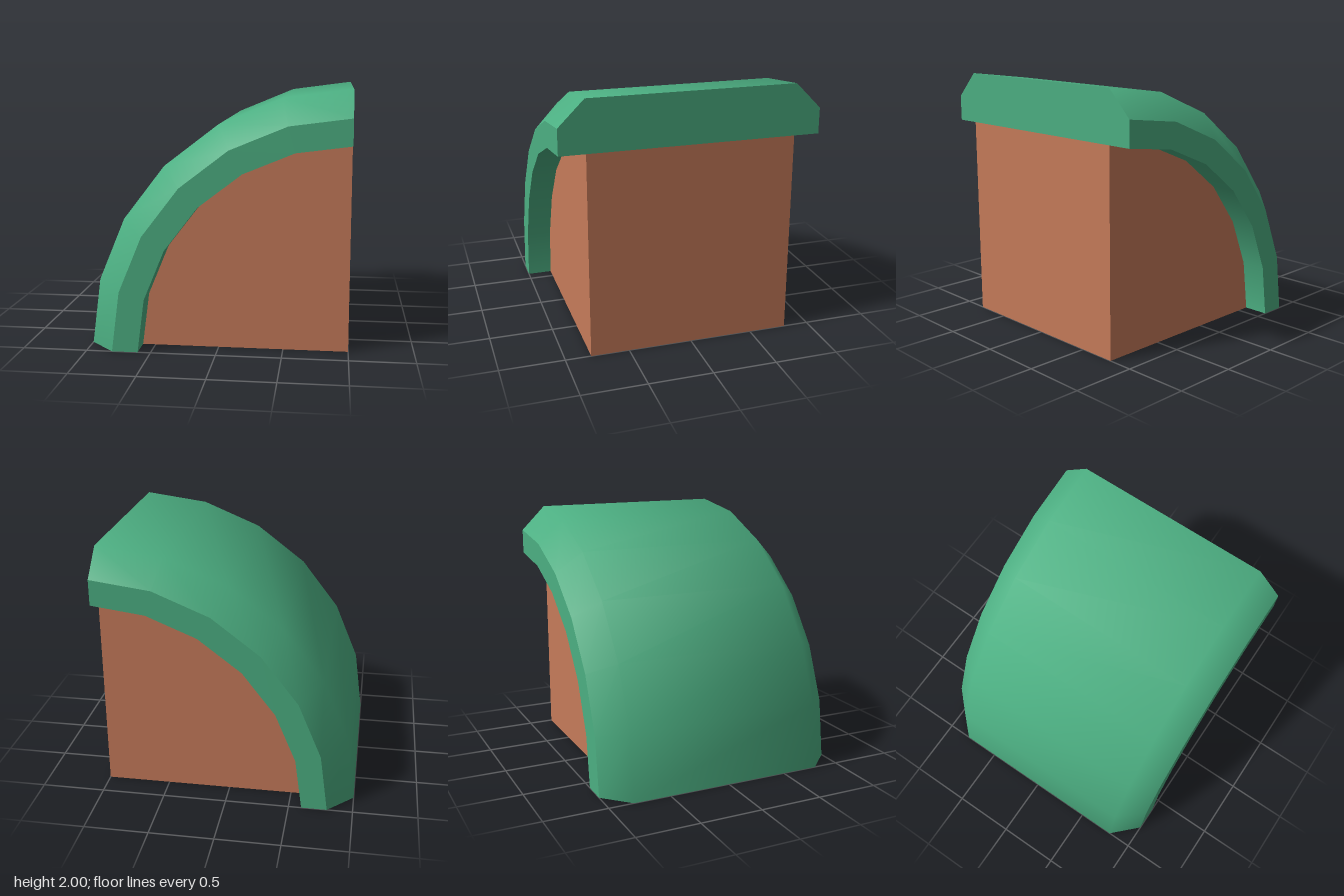
import * as THREE from 'three';

const STEPS = 6; // facets around the quarter turn
const INNER = 1.6, RIM = 1.8, OUTER = 2; // radii about the axis x = 1, y = 0
const CORE_Z = 0.8, RIM_Z = 1;

// Sweeps a strip through the quarter turn. Each profile point is
// [radius, z, tilt], with tilt the angle of its normal from radial towards +z.
function sweep(profile) {
  const pos = [], nor = [], index = [];
  const n = profile.length;
  for (let i = 0; i <= STEPS; i++) {
    const a = (i / STEPS) * Math.PI / 2;
    const c = Math.cos(a), s = Math.sin(a);
    for (const [r, z, tilt] of profile) {
      const t = THREE.MathUtils.degToRad(tilt);
      pos.push(1 - r * c, r * s, z);
      nor.push(-Math.cos(t) * c, Math.cos(t) * s, Math.sin(t));
    }
  }
  for (let i = 0; i < STEPS; i++) {
    for (let j = 0; j < n - 1; j++) {
      const p = i * n + j, q = p + n;
      index.push(p, q, p + 1, q, q + 1, p + 1);
    }
  }
  const g = new THREE.BufferGeometry();
  g.setAttribute('position', new THREE.Float32BufferAttribute(pos, 3));
  g.setAttribute('normal', new THREE.Float32BufferAttribute(nor, 3));
  g.setIndex(index);
  return g;
}

export function createModel() {
  const green = new THREE.MeshStandardMaterial({ color: 0x4caf82 });
  green.name = 'green';
  const clay = new THREE.MeshStandardMaterial({ color: 0xc67b5a });
  clay.name = 'clay';

  const model = new THREE.Group();
  model.name = 'quarterRoundBlock';
  const add = (name, geometry, material) => {
    const mesh = new THREE.Mesh(geometry, material);
    mesh.name = name;
    model.add(mesh);
    return mesh;
  };

  // Solid quarter-round core
  const quarter = [new THREE.Vector2(1, 0)];
  for (let i = 0; i <= STEPS; i++) {
    const a = (i / STEPS) * Math.PI / 2;
    quarter.push(new THREE.Vector2(1 - INNER * Math.cos(a), INNER * Math.sin(a)));
  }
  const core = new THREE.ExtrudeGeometry(new THREE.Shape(quarter), { depth: 2 * CORE_Z, bevelEnabled: false });
  core.translate(0, 0, -CORE_Z);
  add('core', core, clay);

  // Curved cover, its bevels blended smoothly into the top
  add('cover', sweep([
    [RIM, RIM_Z, 45], [OUTER, CORE_Z, 22.5], [OUTER, -CORE_Z, -22.5], [RIM, -RIM_Z, -45],
  ]), green);

  // Flat rim faces and the underside of each overhang
  add('frontRim', sweep([[INNER, RIM_Z, 90], [RIM, RIM_Z, 90]]), green);
  add('backRim', sweep([[RIM, -RIM_Z, -90], [INNER, -RIM_Z, -90]]), green);
  add('frontLip', sweep([[INNER, CORE_Z, 180], [INNER, RIM_Z, 180]]), green);
  add('backLip', sweep([[INNER, -RIM_Z, 180], [INNER, -CORE_Z, 180]]), green);

  // Cover cross-section closes both ends: x is along z, y is the radius
  const section = new THREE.Shape([
    [-RIM_Z, INNER], [RIM_Z, INNER], [RIM_Z, RIM], [CORE_Z, OUTER], [-CORE_Z, OUTER], [-RIM_Z, RIM],
  ].map(([u, v]) => new THREE.Vector2(u, v)));
  add('topEnd', new THREE.ShapeGeometry(section).rotateY(Math.PI / 2).translate(1, 0, 0), green);
  add('foot', new THREE.ShapeGeometry(section).rotateX(Math.PI / 2).rotateY(-Math.PI / 2).translate(1, 0, 0), clay);

  return model;
}
